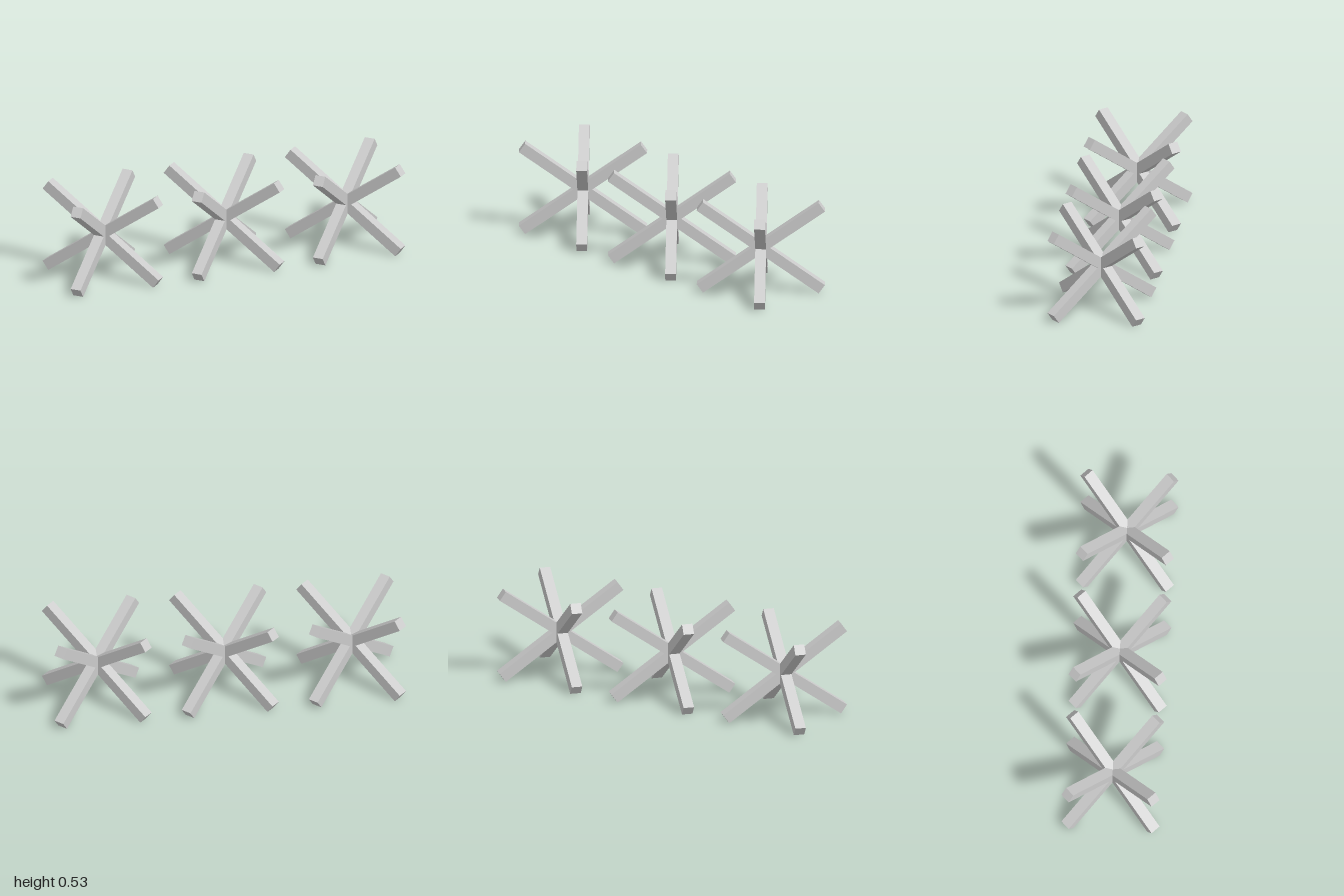
import * as THREE from 'three';

const THICK = 0.061;     // side of the square beams
const REACH = 0.2425;    // end-face centre offset along each axis
const SPACING = 0.7236;  // distance between crosses
const HEIGHT = REACH + THICK / Math.sqrt(6); // centre height of a cross

export function createModel() {
  const model = new THREE.Group();
  model.name = 'beamObstacles';
  const material = new THREE.MeshStandardMaterial({ color: 0xcccccc, flatShading: true });
  const beamGeometry = new THREE.BoxGeometry(THICK, THICK, 2 * REACH * Math.sqrt(3));

  // One obstacle: four beams crossing along the diagonals of a cube
  const createObstacle = () => {
    const obstacle = new THREE.Group();
    for (const x of [-1, 1]) {
      for (const z of [-1, 1]) {
        const beam = new THREE.Mesh(beamGeometry, material);
        beam.name = 'diagonalBeam';
        beam.lookAt(x, 1, z);
        obstacle.add(beam);
      }
    }
    return obstacle;
  };

  // Row of three obstacles
  ['right', 'middle', 'left'].forEach((side, i) => {
    const obstacle = createObstacle();
    obstacle.name = `${side}Obstacle`;
    obstacle.position.set((i - 1) * SPACING, HEIGHT, 0);
    model.add(obstacle);
  });
  return model;
}
